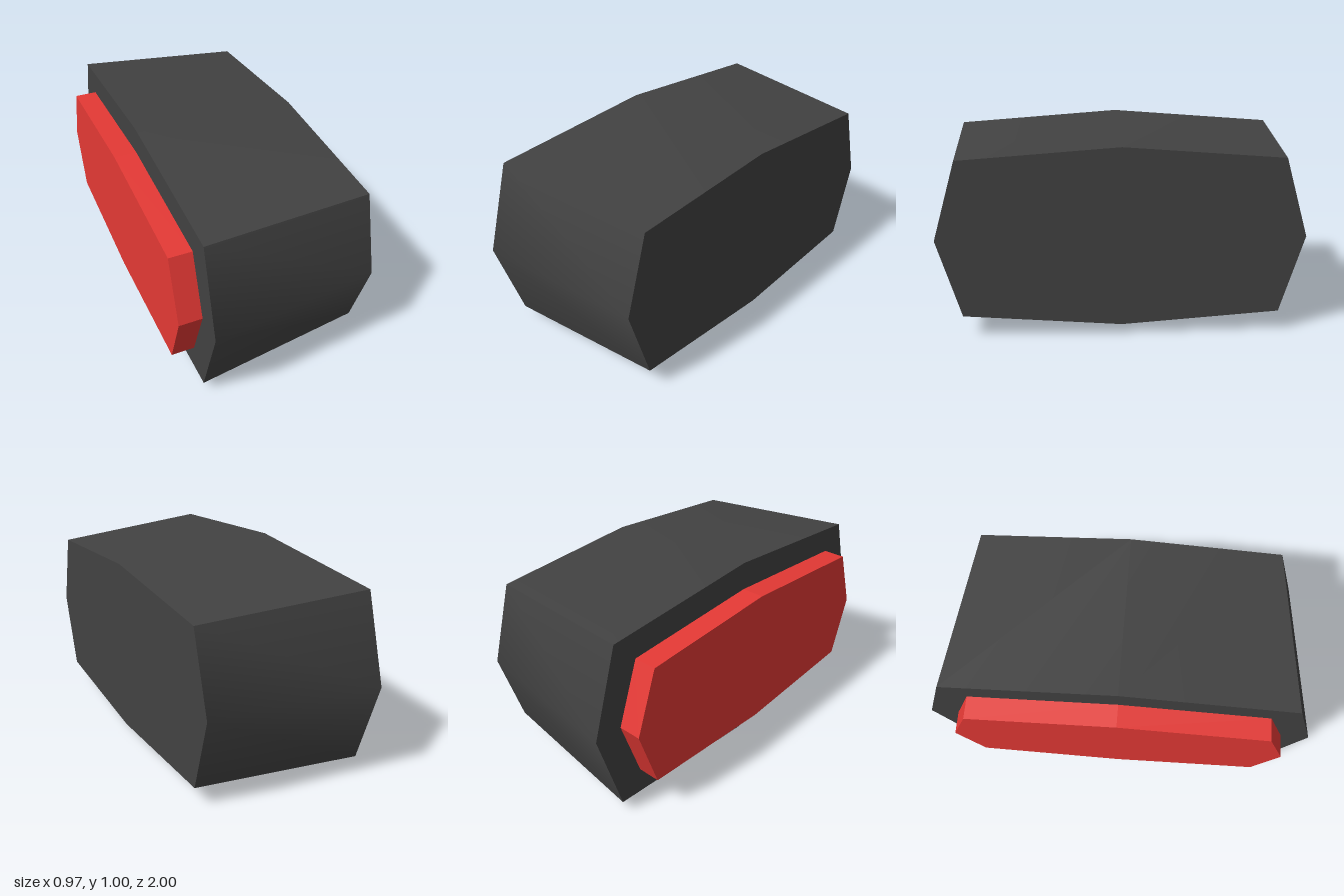
import * as THREE from 'three';
import { toCreasedNormals } from 'three/addons/utils/BufferGeometryUtils.js';

const MID_Y = 0.5;

// Eight-sided outline in the yz plane, from the top round past +z.
function outline(x, ridgeY, cornerY, cornerZ, ridgeZ) {
  return [
    [0, ridgeY], [cornerZ, cornerY], [ridgeZ, 0], [cornerZ, -cornerY],
    [0, -ridgeY], [-cornerZ, -cornerY], [-ridgeZ, 0], [-cornerZ, cornerY],
  ].map(([z, y]) => [x, MID_Y + y, z]);
}

// Closed solid between two outlines; edges flatter than the crease are smoothed.
function loft(a, b, crease) {
  const positions = [];
  const tri = (...points) => points.forEach((p) => positions.push(...p));
  const centreA = [a[0][0], MID_Y, 0];
  const centreB = [b[0][0], MID_Y, 0];
  for (let i = 0; i < a.length; i++) {
    const j = (i + 1) % a.length;
    tri(a[i], a[j], b[j]);
    tri(a[i], b[j], b[i]);
    tri(centreA, a[j], a[i]);
    tri(centreB, b[i], b[j]);
  }
  const geometry = new THREE.BufferGeometry();
  geometry.setAttribute('position', new THREE.Float32BufferAttribute(positions, 3));
  return toCreasedNormals(geometry, crease);
}

export function createModel() {
  const group = new THREE.Group();
  group.name = 'tailLight';

  const darkGrey = new THREE.MeshStandardMaterial({ color: 0x424242 });
  darkGrey.name = 'darkGrey';
  const red = new THREE.MeshStandardMaterial({ color: 0xe53935 });
  red.name = 'red';

  const add = (name, geometry, material) => {
    const mesh = new THREE.Mesh(geometry, material);
    mesh.name = name;
    group.add(mesh);
  };

  // Housing tapers toward +x, with soft ridges and sharp corners.
  add('housing', loft(
    outline(-0.372, 0.5, 0.435, 0.868, 1),
    outline(0.484, 0.449, 0.391, 0.784, 0.9), 0.8), darkGrey);

  // Straight-sided lens on the wide end.
  add('lens', loft(
    outline(-0.486, 0.357, 0.311, 0.748, 0.856),
    outline(-0.372, 0.357, 0.311, 0.748, 0.856), 0.1), red);

  return group;
}
